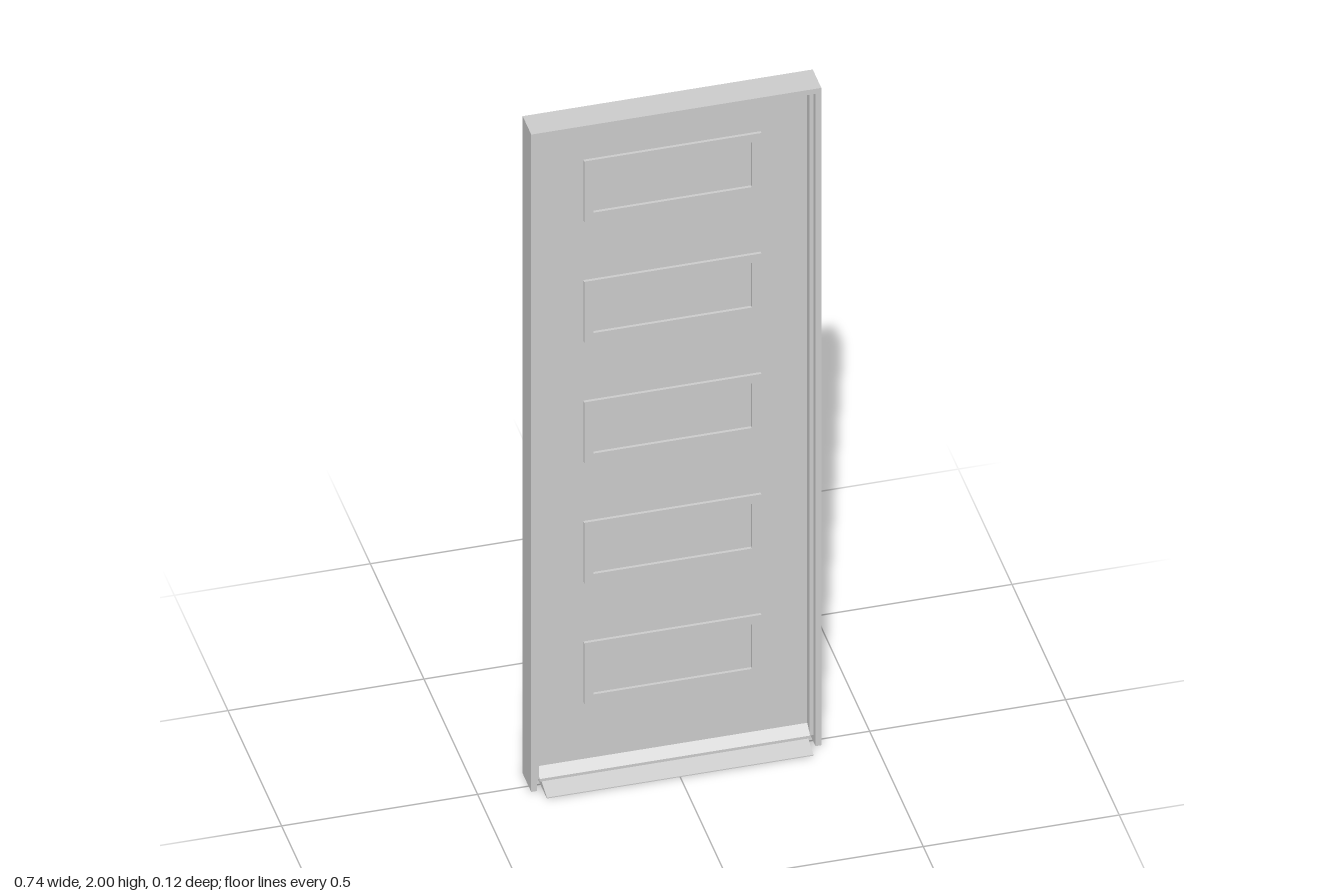
import * as THREE from 'three';

const material = new THREE.MeshStandardMaterial({ color: 0xcccccc, flatShading: true });

const W = 0.37, H = 2;                 // half width and height of the frame
const BACK = -0.055, FRONT = 0.025;    // frame depth
const LEAF_FRONT = -0.015;             // front face of the door leaf

function add(parent, name, geometry) {
  const mesh = new THREE.Mesh(geometry, material);
  mesh.name = name;
  parent.add(mesh);
  return mesh;
}

// Outline in x and y, extruded from z0 to z1
function slab(points, z0, z1, hole) {
  const shape = new THREE.Shape(points.map(([x, y]) => new THREE.Vector2(x, y)));
  if (hole) shape.holes.push(new THREE.Path(hole.map(([x, y]) => new THREE.Vector2(x, y))));
  const geometry = new THREE.ExtrudeGeometry(shape, { depth: z1 - z0, bevelEnabled: false });
  return geometry.translate(0, 0, z0);
}

const rect = (w, y0, y1) => [[-w, y0], [w, y0], [w, y1], [-w, y1]];

// Upside-down U: two legs and a head, of outer half width w and thickness t
function arch(w, bottom, top, t) {
  return [
    [-w, bottom], [-w + t, bottom], [-w + t, top - t], [w - t, top - t],
    [w - t, bottom], [w, bottom], [w, top], [-w, top],
  ];
}

export function createModel() {
  const door = new THREE.Group();
  door.name = 'door';

  // Jambs and head, with the stop that the leaf closes against
  add(door, 'frame', slab(arch(W, 0, H, 0.015), BACK, FRONT));
  add(door, 'doorStop', slab(arch(W - 0.015, 0.02, H - 0.015, 0.01), LEAF_FRONT, 0.005));

  // Door leaf, flush with the back of the frame
  add(door, 'leaf', slab(rect(W - 0.015, 0.02, H - 0.015), BACK, LEAF_FRONT));

  // Raised rectangular mouldings on both faces
  for (let i = 0; i < 5; i++) {
    const y = 0.31 + i * 0.3665, h = 0.092;
    const outer = rect(0.226, y - h, y + h);
    const inner = rect(0.202, y - h + 0.024, y + h - 0.024).reverse();
    add(door, 'frontMoulding', slab(outer, LEAF_FRONT, LEAF_FRONT + 0.008, inner));
    add(door, 'backMoulding', slab(outer, BACK - 0.008, BACK, inner));
  }

  // Sloping threshold, profile in z and y swept along x
  const sill = slab([[BACK, 0], [0.062, 0], [0.062, 0.003], [0.012, 0.017], [BACK, 0.02]], -0.34, 0.34);
  add(door, 'sill', sill.rotateY(-Math.PI / 2));

  // Weather bar at the foot of the leaf
  const bar = slab([[LEAF_FRONT, 0.02], [0.012, 0.017], [0.012, 0.025], [LEAF_FRONT, 0.045]], -0.345, 0.345);
  add(door, 'weatherBar', bar.rotateY(-Math.PI / 2));

  return door;
}
